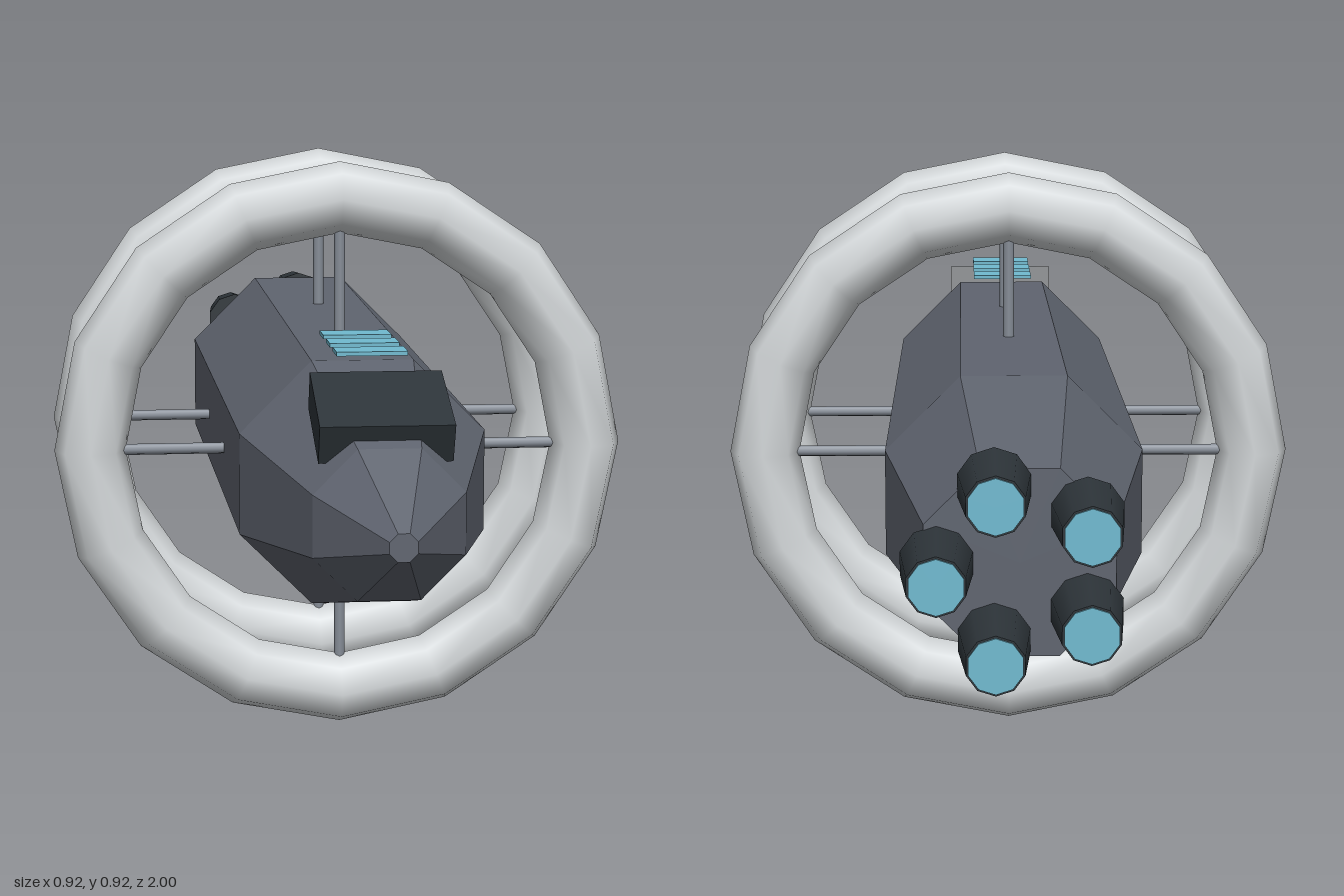
import * as THREE from 'three';

const material = (name, color, extra = {}) =>
  Object.assign(new THREE.MeshStandardMaterial({ color, ...extra }), { name });

export function createModel() {
  const hullGrey = material('hull grey', 0x5f646f, { flatShading: true });
  const ringWhite = material('ring white', 0xd3d7d9);
  const strutGrey = material('strut grey', 0x868d97);
  const darkMetal = material('dark metal', 0x2d3439);
  const glowBlue = material('glow blue', 0x70bad0);

  const ship = new THREE.Group();
  ship.name = 'spaceship';
  ship.position.y = 0.461;

  const add = (name, geometry, mat, x = 0, y = 0, z = 0, parent = ship) => {
    const mesh = new THREE.Mesh(geometry, mat);
    mesh.name = name;
    mesh.position.set(x, y, z);
    parent.add(mesh);
    return mesh;
  };

  // Eight-sided hull, tail to nose: [corner radius, z]
  const profile = [[0, -0.87], [0.144, -0.87], [0.21, -0.5], [0.2, 0.53], [0.116, 0.85], [0.021, 1], [0, 1]]
    .map(([r, z]) => new THREE.Vector2(r, z));
  add('hull', new THREE.LatheGeometry(profile, 8, Math.PI / 8).rotateX(Math.PI / 2), hullGrey);

  // Two habitat rings, each on a cross of struts
  const ringGeometry = new THREE.TorusGeometry(0.402, 0.057, 8, 16);
  const strutGeometry = new THREE.CylinderGeometry(0.009, 0.009, 0.76, 8);
  for (const z of [0.215, -0.122]) {
    const assembly = new THREE.Group();
    assembly.name = 'ringAssembly';
    assembly.position.z = z;
    ship.add(assembly);
    add('ring', ringGeometry, ringWhite, 0, 0, 0, assembly);
    for (const angle of [0, Math.PI / 2]) {
      add('strut', strutGeometry, strutGrey, 0, 0, 0, assembly).rotation.z = angle;
    }
  }

  // Tilted bridge on the nose
  add('bridge', new THREE.BoxGeometry(0.19, 0.059, 0.151), darkMetal, 0, 0.136, 0.75).rotation.x = 0.38;

  // Row of roof windows
  const windowGeometry = new THREE.BoxGeometry(0.104, 0.006, 0.054);
  for (const z of [0.437, 0.53, 0.623]) add('window', windowGeometry, glowBlue, 0, 0.211, z);

  // Five engines in a circle, with glowing exhausts
  const engineGeometry = new THREE.CylinderGeometry(0.053, 0.042, 0.131, 10).rotateX(Math.PI / 2);
  const exhaustGeometry = new THREE.CylinderGeometry(0.039, 0.039, 0.004, 10).rotateX(Math.PI / 2);
  for (let i = 0; i < 5; i++) {
    const angle = (i / 5) * Math.PI * 2;
    const x = 0.115 * Math.cos(angle), y = 0.115 * Math.sin(angle);
    add('engine', engineGeometry, darkMetal, x, y, -0.9315);
    add('exhaust', exhaustGeometry, glowBlue, x, y, -0.998);
  }

  const model = new THREE.Group();
  model.name = 'model';
  model.add(ship);
  return model;
}
